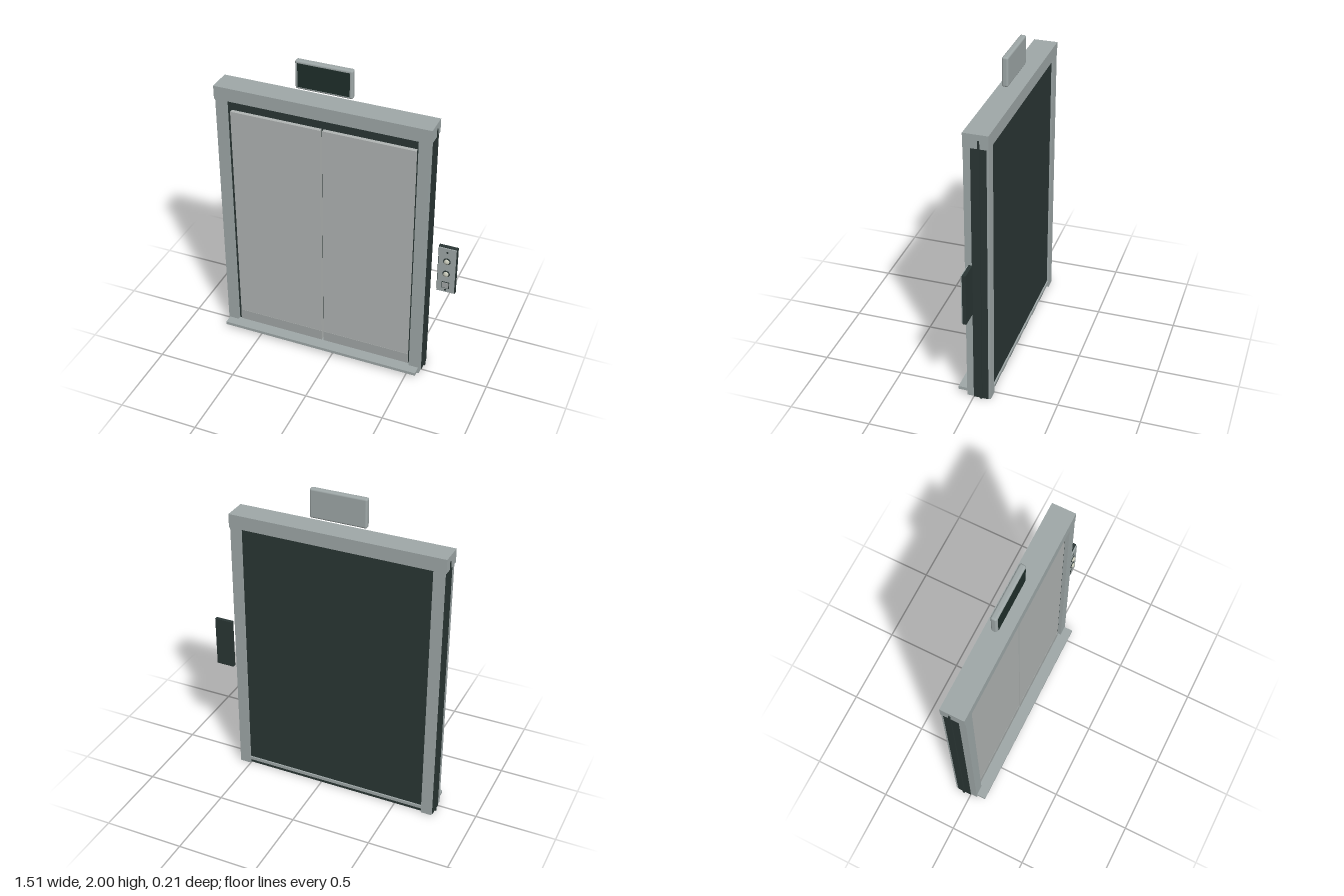
import * as THREE from 'three';
import { RoundedBoxGeometry } from 'three/addons/geometries/RoundedBoxGeometry.js';

const mat = (color) => new THREE.MeshStandardMaterial({ color });
const steel = mat(0x9fa8a8);
const doorSteel = mat(0xb0b4b3);
const kickSteel = mat(0xa2a7a6);
const dark = mat(0x2a3634);
const screenDark = mat(0x1f2e2a);
const cream = mat(0xc8cabb);

const CX = -0.088; // centre line of the doorway

function add(parent, name, geometry, material) {
  const mesh = new THREE.Mesh(geometry, material);
  mesh.name = name;
  parent.add(mesh);
  return mesh;
}

// Box given by its limits on each axis
function box(parent, name, material, [x0, x1], [y0, y1], [z0, z1], radius = 0) {
  const size = [x1 - x0, y1 - y0, z1 - z0];
  const geometry = radius
    ? new RoundedBoxGeometry(...size, 3, radius)
    : new THREE.BoxGeometry(...size);
  geometry.translate((x0 + x1) / 2, (y0 + y1) / 2, (z0 + z1) / 2);
  return add(parent, name, geometry, material);
}

function group(parent, name) {
  const g = new THREE.Group();
  g.name = name;
  parent.add(g);
  return g;
}

// Span at a distance a..b from the centre line, on one side
const span = (s, a, b) => (s > 0 ? [CX + a, CX + b] : [CX - b, CX - a]);

function buildFrame(root) {
  const frame = group(root, 'doorFrame');
  box(frame, 'header', steel, [CX - 0.668, CX + 0.668], [1.68, 1.765], [-0.105, 0.043]);
  box(frame, 'darkCore', dark, [CX - 0.664, CX + 0.664], [0, 1.69], [-0.091, 0]);
  box(frame, 'lintelRail', dark, [CX - 0.59, CX + 0.59], [1.66, 1.682], [0, 0.02]);
  box(frame, 'sill', steel, [CX - 0.654, CX + 0.654], [0.025, 0.045], [-0.1, 0.1]);
  for (const s of [-1, 1]) {
    box(frame, 'frontJamb', steel, span(s, 0.592, 0.66), [0, 1.682], [0, 0.043]);
    box(frame, 'backJamb', steel, span(s, 0.592, 0.66), [0, 1.682], [-0.105, -0.09]);
    box(frame, 'jambLiner', dark, span(s, 0.578, 0.592), [0.045, 1.682], [0, 0.02]);
    box(frame, 'sideFlange', dark, span(s, 0.66, 0.672), [0, 1.73], [-0.054, -0.042]);
  }
}

function buildDoors(root) {
  const doors = group(root, 'doors');
  for (const s of [-1, 1]) {
    const x = span(s, 0.006, 0.577);
    box(doors, 'doorLeaf', doorSteel, x, [0.046, 1.603], [-0.005, 0.025]);
    box(doors, 'kickPlate', kickSteel, x, [0.046, 0.118], [0.02, 0.027]);
  }
}

function buildDisplay(root) {
  const display = group(root, 'floorDisplay');
  box(display, 'displayHousing', steel, [-0.263, 0.087], [1.82, 2], [-0.055, -0.017], 0.012);
  box(display, 'displayScreen', screenDark, [-0.246, 0.07], [1.836, 1.984], [-0.03, -0.014]);
}

function buildCallPanel(root) {
  const panel = group(root, 'callPanel');
  const x = 0.697;
  box(panel, 'panelBack', dark, [0.64, 0.755], [0.656, 0.98], [-0.026, -0.004]);
  box(panel, 'panelFace', steel, [0.645, 0.75], [0.661, 0.975], [-0.006, 0.004]);

  // Round call buttons: collar ring with a domed cap
  const cap = new THREE.LatheGeometry(
    [[0.016, 0], [0.016, 0.01], [0.011, 0.015], [0, 0.017]].map((p) => new THREE.Vector2(...p)), 24);
  cap.rotateX(Math.PI / 2);
  for (const y of [0.885, 0.795]) {
    add(panel, 'buttonRing', new THREE.TorusGeometry(0.019, 0.004, 8, 28), dark).position.set(x, y, 0.004);
    add(panel, 'callButton', cap, cream).position.set(x, y, 0.003);
  }

  // Square switch
  box(panel, 'switchRim', dark, [x - 0.023, x + 0.023], [0.691, 0.735], [0, 0.007]);
  box(panel, 'switchPlate', kickSteel, [x - 0.019, x + 0.019], [0.695, 0.731], [0, 0.01]);

  // Fixing screws
  for (const y of [0.95, 0.677]) {
    const screw = add(panel, 'screw', new THREE.CylinderGeometry(0.006, 0.006, 0.005, 16), dark);
    screw.rotation.x = Math.PI / 2;
    screw.position.set(x, y, 0.004);
  }
}

export function createModel() {
  const root = new THREE.Group();
  root.name = 'elevatorEntrance';
  buildFrame(root);
  buildDoors(root);
  buildDisplay(root);
  buildCallPanel(root);
  return root;
}
